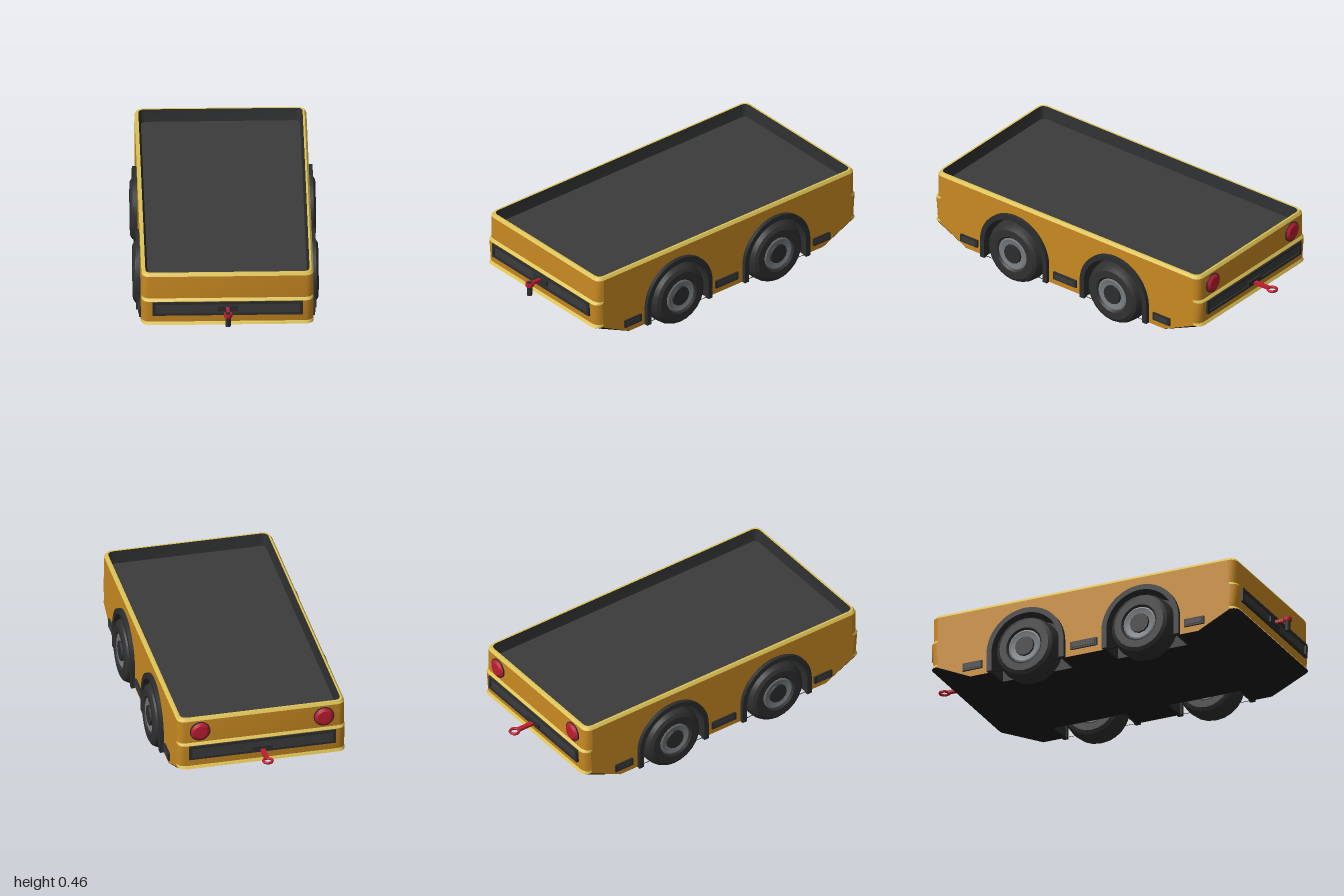
import * as THREE from 'three';
import { toCreasedNormals } from 'three/addons/utils/BufferGeometryUtils.js';

const mat = (name, color, side = THREE.FrontSide) => {
  const m = new THREE.MeshStandardMaterial({ color, side });
  m.name = name;
  return m;
};

export function createModel() {
  const paint = mat('orange paint', 0xc98a22, THREE.DoubleSide);
  const trim = mat('yellow edge', 0xdcc256, THREE.DoubleSide);
  const deck = mat('deck grey', 0x3b3b3b, THREE.DoubleSide);
  const plastic = mat('dark plastic', 0x2c2d2e, THREE.DoubleSide);
  const under = mat('underside black', 0x1b1b1b, THREE.DoubleSide);
  const rubber = mat('tyre rubber', 0x303030);
  const steel = mat('wheel steel', 0x777c7f);
  const red = mat('signal red', 0xbd1c32);

  const model = new THREE.Group();
  model.name = 'flatbedTractor';
  const add = (parent, name, geo, material, x = 0, y = 0, z = 0) => {
    const m = new THREE.Mesh(geo, material);
    m.name = name;
    m.position.set(x, y, z);
    parent.add(m);
    return m;
  };
  const box = (parent, name, material, w, h, d, x, y, z) =>
    add(parent, name, new THREE.BoxGeometry(w, h, d), material, x, y, z);

  // Body shell: rounded rectangles [y, half width, front z, back z, corner radius]
  const rings = [
    [0.075, 0.44, 0.68, -0.62, 0.005],
    [0.165, 0.44, 0.895, -0.847, 0.04],
    [0.18, 0.44, 0.885, -0.838, 0.04],
    [0.302, 0.44, 0.895, -0.847, 0.04],
    [0.315, 0.44, 0.882, -0.836, 0.04],
    [0.441, 0.44, 0.882, -0.836, 0.04],
    [0.456, 0.43, 0.872, -0.826, 0.035],
    [0.456, 0.42, 0.862, -0.816, 0.03],
    [0.388, 0.407, 0.849, -0.803, 0.025],
  ];
  const bands = [
    ['slopedUnderside', under], ['lowerLedge', trim], ['bumperPanel', paint], ['upperLedge', trim],
    ['upperPanel', paint], ['rimBevel', trim], ['rimTop', trim], ['trayWall', plastic],
  ];
  const ringPoints = ([y, hx, zf, zb, c]) => {
    const pts = [];
    [[hx - c, zf - c], [hx - c, zb + c], [c - hx, zb + c], [c - hx, zf - c]].forEach(([x, z], q) => {
      for (let s = 0; s < 4; s++) {
        const a = (q + s / 3) * Math.PI / 2;
        pts.push([x + c * Math.sin(a), y, z + c * Math.cos(a)]);
      }
    });
    return pts;
  };
  bands.forEach(([name, material], k) => {
    const lo = ringPoints(rings[k]), hi = ringPoints(rings[k + 1]), pos = [];
    for (let i = 0; i < 16; i++) {
      if (k < 5 && (i === 3 || i === 11)) continue; // side panels fill these
      const j = (i + 1) % 16;
      pos.push(...lo[i], ...lo[j], ...hi[j], ...lo[i], ...hi[j], ...hi[i]);
    }
    const g = new THREE.BufferGeometry();
    g.setAttribute('position', new THREE.Float32BufferAttribute(pos, 3));
    add(model, name, toCreasedNormals(g, 0.7), material);
  });
  box(model, 'deckFloor', deck, 0.815, 0.01, 1.653, 0, 0.385, 0.023);

  // Underside plate with openings for the wheels
  const axles = [0.355, -0.295], wheelY = 0.172, archR = 0.205;
  const rect = (P, x0, y0, x1, y1) => {
    const p = new P();
    p.moveTo(x0, y0); p.lineTo(x1, y0); p.lineTo(x1, y1); p.lineTo(x0, y1); p.closePath();
    return p;
  };
  const plate = rect(THREE.Shape, -0.44, -0.62, 0.44, 0.68);
  for (const z of axles) for (const s of [-1, 1]) {
    plate.holes.push(rect(THREE.Path, Math.min(s * 0.31, s * 0.435), z - archR,
      Math.max(s * 0.31, s * 0.435), z + archR));
  }
  add(model, 'underPlate', new THREE.ShapeGeometry(plate).rotateX(Math.PI / 2), under, 0, 0.075, 0);

  // Everything on one side; profiles are drawn in (z, y) and turned to face -x
  const side = new THREE.Group();
  side.name = 'rightSide';
  model.add(side);
  const turn = g => g.rotateY(-Math.PI / 2);

  const panel = new THREE.Shape();
  const edge = rings.slice(0, 6);
  panel.moveTo(edge[0][3] + edge[0][4], 0.075);
  for (const z of [...axles].reverse()) {
    panel.lineTo(z - archR, 0.075);
    panel.lineTo(z - archR, wheelY);
    panel.absarc(z, wheelY, archR, Math.PI, 0, true);
    panel.lineTo(z + archR, 0.075);
  }
  edge.forEach(r => panel.lineTo(r[2] - r[4], r[0]));
  [...edge].reverse().forEach(r => panel.lineTo(r[3] + r[4], r[0]));
  add(side, 'sidePanel', turn(new THREE.ShapeGeometry(panel, 16)), paint, -0.44);

  // Arch-shaped band, or a filled arch when inner is 0
  const archShape = (outer, inner) => {
    const s = new THREE.Shape(), base = 0.075 - wheelY;
    s.moveTo(-outer, base);
    s.lineTo(-outer, 0);
    s.absarc(0, 0, outer, Math.PI, 0, true);
    s.lineTo(outer, base);
    if (inner) {
      s.lineTo(inner, base);
      s.lineTo(inner, 0);
      s.absarc(0, 0, inner, 0, Math.PI, false);
      s.lineTo(-inner, base);
    }
    s.closePath();
    return s;
  };
  const extrude = (shape, depth) => new THREE.ExtrudeGeometry(shape, { depth, bevelEnabled: false, curveSegments: 14 });
  const band = (outer, inner, depth) => toCreasedNormals(turn(extrude(archShape(outer, inner), depth)), 0.6);

  const lathe = (pts, n) => toCreasedNormals(
    new THREE.LatheGeometry(pts.map(p => new THREE.Vector2(...p)), n).rotateZ(Math.PI / 2), 0.5);
  const tyre = lathe([[0.085, -0.06], [0.1, -0.0725], [0.138, -0.0725], [0.156, -0.062], [0.168, -0.038], [0.172, 0],
    [0.168, 0.038], [0.156, 0.062], [0.138, 0.0725], [0.1, 0.0725], [0.088, 0.06]], 24);
  const rim = lathe([[0.001, -0.062], [0.09, -0.062], [0.09, 0.064], [0.082, 0.067], [0.058, 0.06], [0.001, 0.06]], 20);

  axles.forEach((z, i) => {
    const axle = new THREE.Group();
    axle.name = i ? 'rearWheelAssembly' : 'frontWheelAssembly';
    axle.position.set(0, wheelY, z);
    side.add(axle);
    add(axle, 'archLining', band(archR, 0.195, 0.13), plastic, -0.31);
    add(axle, 'archFlare', band(0.218, 0.19, 0.024), plastic, -0.437);
    add(axle, 'wellWall', turn(new THREE.ShapeGeometry(archShape(archR, 0), 14)), under, -0.311);
    add(axle, 'tyre', tyre, rubber, -0.402);
    add(axle, 'wheelRim', rim, steel, -0.402);
    add(axle, 'hubCap', new THREE.CylinderGeometry(0.052, 0.056, 0.02, 12).rotateZ(Math.PI / 2), plastic, -0.462);
  });

  // Side markers: dark housing with a raised lens
  for (const [z, len] of [[0.655, 0.11], [0.03, 0.15], [-0.6, 0.11]]) {
    box(side, 'markerHousing', plastic, 0.014, 0.042, len, -0.443, 0.13, z);
    box(side, 'markerLens', deck, 0.006, 0.024, len - 0.025, -0.45, 0.13, z);
  }
  const other = side.clone();
  other.name = 'leftSide';
  other.scale.x = -1;
  model.add(other);

  // Recessed bumper grilles at both ends
  const frame = rect(THREE.Shape, -0.385, -0.038, 0.385, 0.038);
  frame.holes.push(rect(THREE.Path, -0.368, -0.025, 0.368, 0.025));
  for (const [name, z, s] of [['front', 0.888, 1], ['rear', -0.842, -1]]) {
    const g = new THREE.Group();
    g.name = name + 'Grille';
    g.position.set(0, 0.262, z);
    if (s < 0) g.rotation.y = Math.PI;
    model.add(g);
    add(g, 'grilleFrame', extrude(frame, 0.014), plastic);
    box(g, 'grillePanel', deck, 0.75, 0.06, 0.01, 0, 0, 0.001);
    box(g, 'hitchBracket', plastic, 0.105, 0.03, 0.016, 0, s < 0 ? -0.02 : 0, 0.008);
  }

  // Front hitch: short red bar, eye and pin
  box(model, 'frontHitchBar', red, 0.016, 0.016, 0.075, 0, 0.264, 0.932);
  add(model, 'frontHitchEye', new THREE.CylinderGeometry(0.022, 0.022, 0.018, 16), red, 0, 0.264, 0.972);
  add(model, 'hitchPin', new THREE.CylinderGeometry(0.014, 0.014, 0.075, 12), plastic, 0, 0.238, 0.972);

  // Rear tow bar with ring
  box(model, 'rearTowBar', red, 0.024, 0.013, 0.105, 0, 0.236, -0.892);
  add(model, 'rearTowRing', new THREE.TorusGeometry(0.0235, 0.007, 8, 20).rotateX(Math.PI / 2), red, 0, 0.236, -0.9695);

  // Round tail lights
  for (const x of [-0.325, 0.325]) {
    add(model, 'lightHousing', new THREE.CylinderGeometry(0.054, 0.054, 0.012, 20).rotateX(Math.PI / 2), plastic, x, 0.38, -0.836);
    add(model, 'tailLight', new THREE.CylinderGeometry(0.05, 0.036, 0.012, 20).rotateX(Math.PI / 2), red, x, 0.38, -0.848);
  }
  return model;
}
